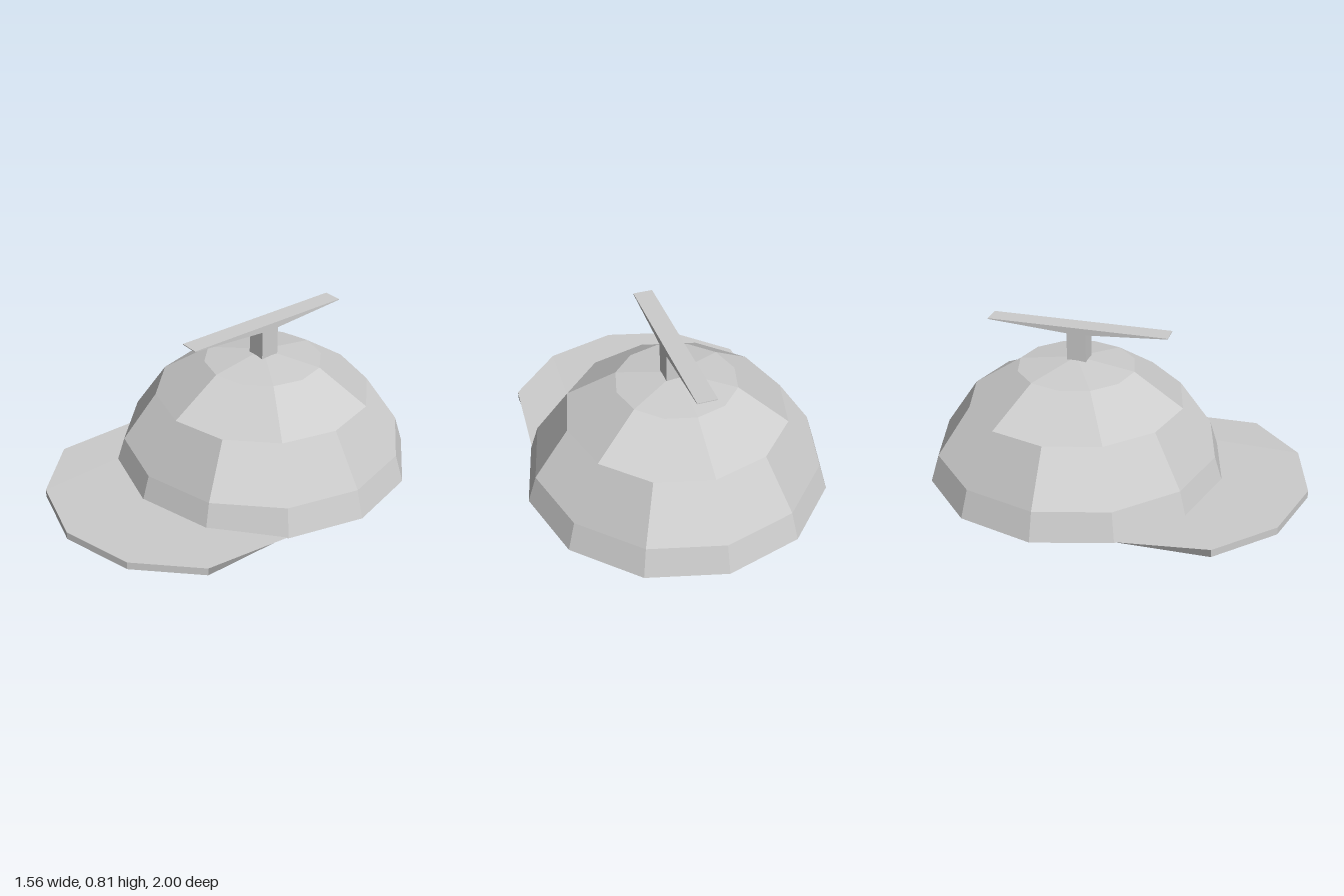
import * as THREE from 'three';

const CZ = -0.22; // centre of the crown in z
const grey = new THREE.MeshStandardMaterial({ color: 0xcccccc, side: THREE.DoubleSide });
grey.name = 'lightGrey';

// point on a crown ring; step counts twelfths of a turn from the front
const ring = (r, y, step) => {
  const a = (step * Math.PI) / 6;
  return new THREE.Vector3(r * Math.sin(a), y, CZ + r * Math.cos(a));
};

// Panels are polygons, cut as a fan from their first corner and shaded evenly
function panelMesh(name, panels) {
  const pos = [], nor = [];
  for (const p of panels) {
    const n = new THREE.Vector3();
    for (let i = 1; i < p.length - 1; i++) {
      const e = p[i].clone().sub(p[0]);
      n.add(e.cross(p[i + 1].clone().sub(p[0])));
    }
    n.normalize();
    for (let i = 1; i < p.length - 1; i++) {
      for (const v of [p[0], p[i], p[i + 1]]) {
        pos.push(v.x, v.y, v.z);
        nor.push(n.x, n.y, n.z);
      }
    }
  }
  const g = new THREE.BufferGeometry();
  g.setAttribute('position', new THREE.Float32BufferAttribute(pos, 3));
  g.setAttribute('normal', new THREE.Float32BufferAttribute(nor, 3));
  const m = new THREE.Mesh(g, grey);
  m.name = name;
  return m;
}

// Faceted dome: a narrow band, two bands of paired panels, and a shallow cap
function domePanels(profile) {
  const [a, b, c, d, top] = profile;
  const P = ([r, y], s) => ring(r, y, s);
  const out = [];
  for (let s = 0; s < 12; s++) out.push([P(a, s), P(a, s + 1), P(b, s + 1), P(b, s)]);
  for (let k = 0; k < 6; k++) {
    const s = 2 * k - 1, t = 2 * k;
    if (k === 0) {
      // the front panel is flattened, leaving a small ledge below it
      out.push([P(b, s), P(b, s + 1), P(b, s + 2), P(c, s + 2), P(c, s + 1), P(c, s)]);
    } else {
      // fan from the middle of the lower edge keeps the panel bulging
      out.push([P(b, s + 1), P(b, s + 2), P(c, s + 2), P(c, s + 1), P(c, s), P(b, s)]);
    }
    out.push([P(c, t), P(c, t + 1), P(c, t + 2), P(d, t + 2), P(d, t + 1), P(d, t)]);
    out.push([P(top, 0), P(d, t), P(d, t + 1), P(d, t + 2)]);
  }
  return out;
}

export function createModel() {
  const group = new THREE.Group();

  // crown: outer shell, inner lining and the rim joining them
  const outer = [[0.78, 0.015], [0.735, 0.16], [0.56, 0.418], [0.305, 0.59], [0, 0.638]];
  const inner = [[0.742, 0], [0.698, 0.145], [0.528, 0.39], [0.288, 0.553], [0, 0.598]];
  group.add(panelMesh('crown', domePanels(outer)));
  group.add(panelMesh('crownLining', domePanels(inner).map((p) => [p[0], ...p.slice(1).reverse()])));
  const rim = [];
  for (let s = 0; s < 12; s++) {
    rim.push([ring(0.742, 0, s), ring(0.742, 0, s + 1), ring(0.78, 0.015, s + 1), ring(0.78, 0.015, s)]);
  }
  group.add(panelMesh('crownRim', rim));

  // brim: a thin slab between the front of the rim and an outer outline
  const outline = [[-0.64, 0.63], [-0.37, 0.9], [0, 1], [0.37, 0.9], [0.64, 0.63]];
  const V = (x, y, z) => new THREE.Vector3(x, y, z);
  const brim = [];
  const section = (i) => {
    const [x, z] = outline[i];
    const end = i === 0 || i === 4;
    return {
      it: ring(0.775, end ? 0.018 : 0.04, i - 2), ot: V(x, 0.04, z),
      ob: V(x, 0, z), ib: ring(0.745, 0, i - 2),
    };
  };
  for (let i = 0; i < 4; i++) {
    const p = section(i), q = section(i + 1);
    brim.push([p.it, p.ot, q.ot, q.it]);
    brim.push([p.ot, p.ob, q.ob, q.ot]);
    brim.push([p.ob, p.ib, q.ib, q.ob]);
  }
  const first = section(0), last = section(4);
  brim.push([first.it, first.ib, first.ob, first.ot]);
  brim.push([last.ot, last.ob, last.ib, last.it]);
  group.add(panelMesh('brim', brim));

  // propeller post
  const post = new THREE.Mesh(new THREE.BoxGeometry(0.1, 0.16, 0.1), grey);
  post.position.set(0.015, 0.7, -0.21);
  post.name = 'propellerPost';
  group.add(post);

  // propeller blade: flat on top, tapering to thin tips
  const profile = new THREE.Shape();
  profile.moveTo(-0.26, 0.808);
  profile.lineTo(-0.26, 0.804);
  profile.lineTo(0.16, 0.775);
  profile.lineTo(0.26, 0.775);
  profile.lineTo(0.68, 0.804);
  profile.lineTo(0.68, 0.808);
  const bladeGeo = new THREE.ExtrudeGeometry(profile, { depth: 0.1, bevelEnabled: false });
  bladeGeo.rotateY(Math.PI / 2);
  const blade = new THREE.Mesh(bladeGeo, grey);
  blade.position.x = -0.035;
  blade.name = 'propellerBlade';
  group.add(blade);

  return group;
}
